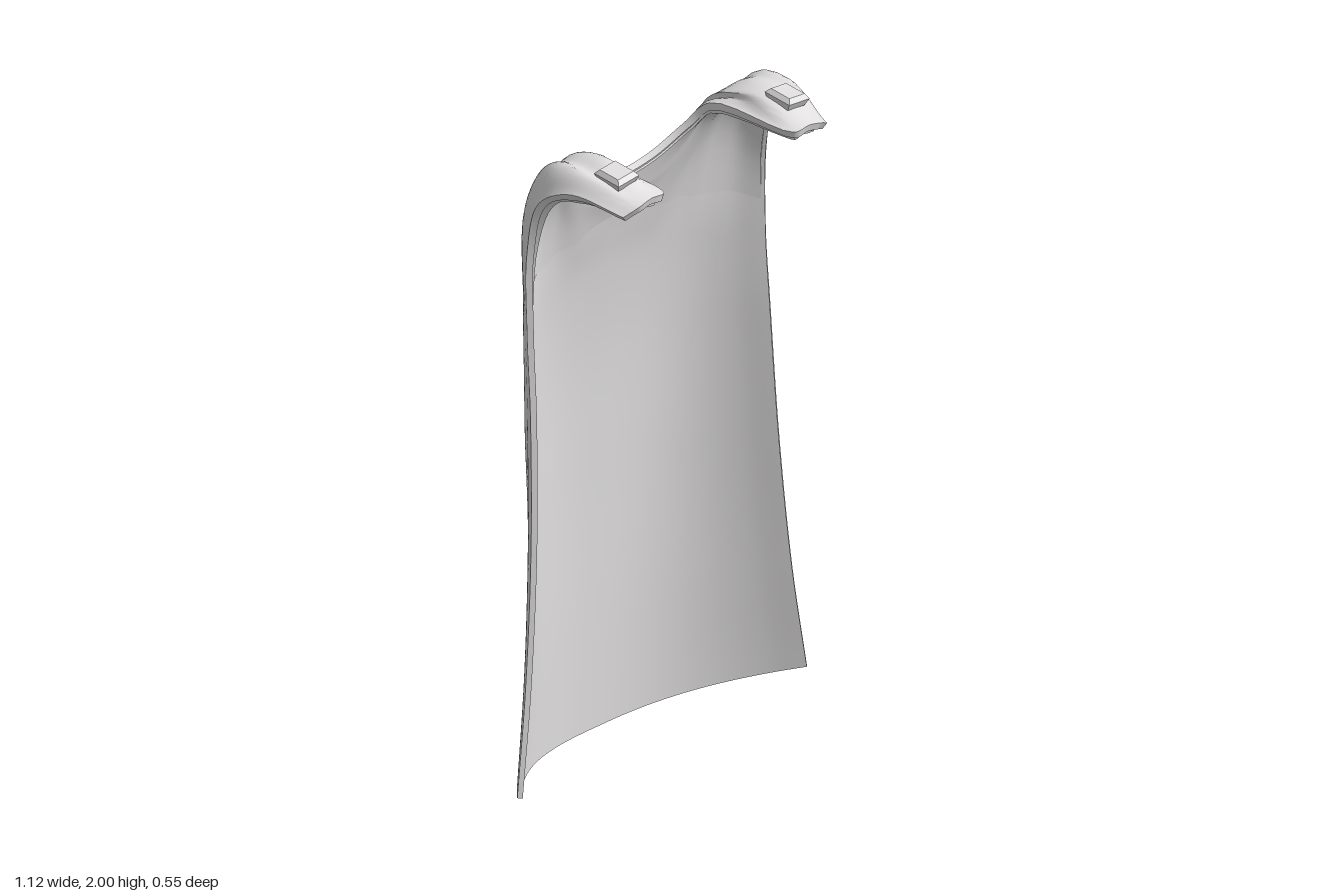
import * as THREE from 'three';
import { toCreasedNormals } from 'three/addons/utils/BufferGeometryUtils.js';

const V = (x, y, z) => new THREE.Vector3(x, y, z);

// Body sections: height, half width, depth at the spine, depth at the side edge, squareness
const SECTIONS = [
  [0.005, 0.558, -0.275, -0.008, 2.3], [0.4, 0.514, -0.267, -0.02, 2.45],
  [0.8, 0.479, -0.261, -0.034, 2.8], [1.2, 0.463, -0.249, -0.052, 3.3],
  [1.45, 0.46, -0.225, -0.068, 3.7],
];
// Position of each lengthwise line across the half width
const ACROSS = [0, 0.2, 0.36, 0.5, 0.62, 0.74, 0.87, 1];
// Upper ends of those lines: neckline first, then over the shoulder strap
const SHOULDER = [
  [[0, 1.56, -0.207], [0, 1.63, -0.193], [0, 1.69, -0.179], [0, 1.755, -0.162]],
  [[0.09, 1.57, -0.203], [0.1, 1.65, -0.187], [0.1, 1.71, -0.172], [0.1, 1.775, -0.153]],
  [[0.165, 1.6, -0.193], [0.18, 1.7, -0.17], [0.188, 1.78, -0.147], [0.19, 1.84, -0.118]],
  [[0.26, 1.72, -0.165], [0.265, 1.85, -0.112], [0.255, 1.905, -0.078], [0.235, 1.92, -0.045]],
  [[0.295, 1.78, -0.148], [0.29, 1.92, -0.062], [0.275, 1.96, 0.1], [0.25, 1.938, 0.265]],
  [[0.345, 1.8, -0.14], [0.338, 1.95, -0.04], [0.325, 1.975, 0.12], [0.305, 1.942, 0.27]],
  [[0.405, 1.78, -0.12], [0.4, 1.94, -0.025], [0.38, 1.96, 0.12], [0.35, 1.932, 0.27]],
  [[0.462, 1.7, -0.066], [0.456, 1.87, -0.02], [0.433, 1.928, 0.09], [0.393, 1.908, 0.25]],
];
// Folds: line index at the strap, line index at the lower end, lower end, height
const FOLDS = [
  [-4.5, -1, 0.3, 0.024], [-6, -3.6, 0.1, 0.02],
  [4, 1.4, 0.5, 0.018], [6.4, 3.7, 0.14, 0.022],
];

// One lengthwise line of the cloth, from hem to neckline or strap end
function lineCurve(c) {
  const k = Math.abs(c), side = Math.sign(c), s = ACROSS[k];
  const pts = SECTIONS.map(([y, w, zb, ze, power], i) =>
    V(side * w * s, y + (i === 0 ? 0.08 * s * s : 0), zb + (ze - zb) * s ** power));
  SHOULDER[k].forEach(([x, y, z], i) => {
    const shift = k > 2 ? -0.005 * i : 0;
    pts.push(V(side * x + shift, y, z));
  });
  return new THREE.CatmullRomCurve3(pts);
}
const LINES = Array.from({ length: 15 }, (_, i) => lineCurve(i - 7));

function clothPoint(c, v) {
  const row = new THREE.CatmullRomCurve3(LINES.map((l) => l.getPoint(v)));
  return row.getPoint((c + 7) / 14);
}

// Soft on the outer side, sharp on the inner side, fading at both ends
function foldHeight(c, v) {
  let h = 0;
  for (const [top, end, vEnd, amp] of FOLDS) {
    if (v <= vEnd) continue;
    const t = Math.min((v - vEnd) / (0.86 - vEnd), 1);
    const d = (c - (end + (top - end) * t)) * Math.sign(top);
    const shape = d > 0 ? Math.exp(-((d / 0.9) ** 2)) : Math.exp(-((d / 0.25) ** 2));
    const fade = Math.min(t * 3.5, 1) * THREE.MathUtils.clamp((0.97 - v) / 0.12, 0, 1);
    h += amp * shape * fade;
  }
  return h;
}

// Closed sheet: outer face, inner face and a rim joining them
function sheet(cMax, start, vEnd, outer, inner, nc, nv) {
  const base = [];
  const params = [];
  for (let j = 0; j <= nv; j++) for (let i = 0; i <= nc; i++) {
    const c = -cMax + (2 * cMax * i) / nc;
    const v0 = start(c), v = v0 + ((vEnd - v0) * j) / nv;
    params.push([c, v, j / nv]);
    base.push(clothPoint(c, v));
  }
  const id = (i, j) => j * (nc + 1) + i;
  const pos = [], back = [], index = [];
  for (let j = 0; j <= nv; j++) for (let i = 0; i <= nc; i++) {
    const n = id(i, j), p = base[n];
    const ds = base[id(Math.min(i + 1, nc), j)].clone().sub(base[id(Math.max(i - 1, 0), j)]);
    const dv = base[id(i, Math.min(j + 1, nv))].clone().sub(base[id(i, Math.max(j - 1, 0))]);
    const normal = dv.cross(ds).normalize();
    const [c, v, t] = params[n];
    pos.push(...p.clone().addScaledVector(normal, outer(c, v)).toArray());
    back.push(...p.clone().addScaledVector(normal, inner(c, t)).toArray());
  }
  const m = base.length;
  const quad = (a, b, c, d) => index.push(a, b, c, a, c, d);
  for (let j = 0; j < nv; j++) for (let i = 0; i < nc; i++) {
    const a = id(i, j), b = id(i + 1, j), c = id(i + 1, j + 1), d = id(i, j + 1);
    quad(a, d, c, b);
    quad(a + m, b + m, c + m, d + m);
  }
  const rim = (a, b) => quad(a, b, b + m, a + m);
  for (let i = 0; i < nc; i++) {
    rim(id(i, 0), id(i + 1, 0));
    rim(id(i + 1, nv), id(i, nv));
  }
  for (let j = 0; j < nv; j++) {
    rim(id(nc, j), id(nc, j + 1));
    rim(id(0, j + 1), id(0, j));
  }
  const g = new THREE.BufferGeometry();
  g.setAttribute('position', new THREE.Float32BufferAttribute(pos.concat(back), 3));
  g.setIndex(index);
  return toCreasedNormals(g, 0.75);
}

export function createModel() {
  const group = new THREE.Group();
  const cloth = new THREE.MeshStandardMaterial({ color: 0xe2e0e0 });
  cloth.name = 'pale grey cloth';
  const add = (name, geometry) => {
    const mesh = new THREE.Mesh(geometry, cloth);
    mesh.name = name;
    group.add(mesh);
  };

  // Main cloth with folds on the outside, thicker towards the shoulders
  add('cape', sheet(7, () => 0, 1, foldHeight, (c, t) => -0.015 - 0.007 * t, 84, 56));

  // Second layer under the straps, thin behind the neck
  const liningStart = (c) => 0.54 + 0.185 * Math.exp(-((c / 2) ** 2));
  const liningDepth = (c, t) => {
    const strap = THREE.MathUtils.smoothstep(Math.abs(c), 2.5, 4.5);
    return -0.02 - (0.008 + 0.016 * strap) * Math.min(t * 2, 1);
  };
  add('shoulderLining', sheet(6.88, liningStart, 0.988, () => -0.01, liningDepth, 56, 20));

  // Chamfered studs on the straps
  for (const [name, x, tilt] of [['leftStud', 0.312, -0.1], ['rightStud', -0.343, 0.1]]) {
    const stud = new THREE.Group();
    stud.name = name;
    const blocks = [[0.056, 0.046, 0.022, 0], [0.042, 0.056, 0.013, 0.0175]];
    for (const [top, bottom, h, y] of blocks) {
      const g = new THREE.CylinderGeometry(top, bottom, h, 4).rotateY(Math.PI / 4);
      const mesh = new THREE.Mesh(toCreasedNormals(g.scale(1, 1, 1.2), 0.3), cloth);
      mesh.name = 'studBlock';
      mesh.position.y = y;
      stud.add(mesh);
    }
    stud.position.set(x, 1.974, 0.16);
    stud.rotation.set(0.08, 0, tilt);
    group.add(stud);
  }
  return group;
}
